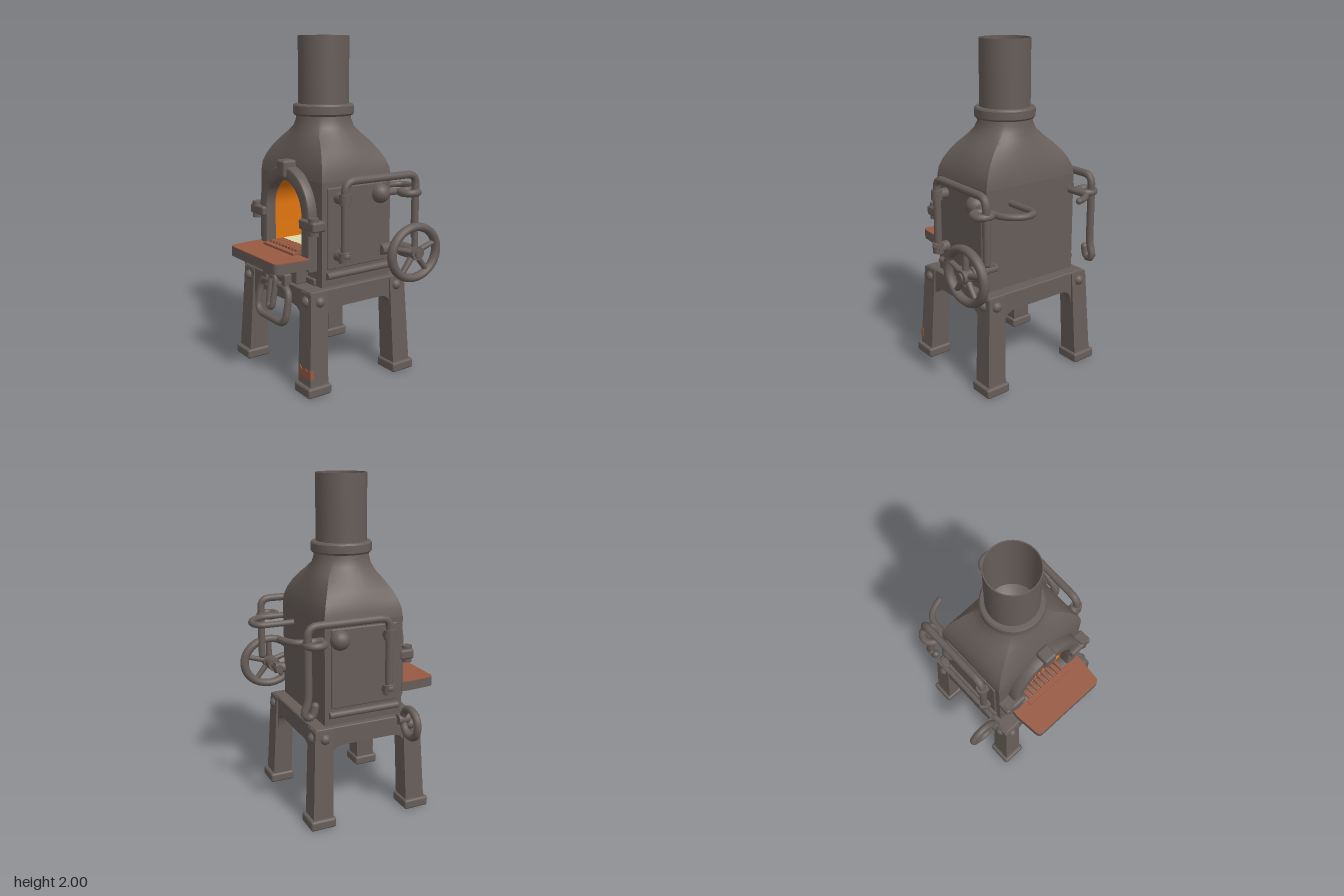
import * as THREE from 'three';
import { toCreasedNormals } from 'three/addons/utils/BufferGeometryUtils.js';
import { RoundedBoxGeometry } from 'three/addons/geometries/RoundedBoxGeometry.js';

const mat = (name, color) => Object.assign(new THREE.MeshStandardMaterial({ color }), { name });
const iron = mat('iron', 0x665d59);
const rust = mat('rust', 0x985a42);
const glow = mat('orange glow', 0xe2750f);
const ember = mat('tan ember', 0xd6aa66);
const heat = mat('pale heat', 0xf4ecba);
const V = (x, y, z) => new THREE.Vector3(x, y, z);
const CX = 0.012; // axis of the stove body
const AX = 0.024; // axis of the firebox opening

export function createModel() {
  const root = new THREE.Group();
  root.name = 'stove';

  const add = (name, geo, m = iron, x = 0, y = 0, z = 0, parent = root) => {
    const mesh = new THREE.Mesh(geo, m);
    mesh.name = name;
    mesh.position.set(x, y, z);
    parent.add(mesh);
    return mesh;
  };
  const crease = (geo) => toCreasedNormals(geo, 0.6);
  // Box given by its extents
  const box = (name, x0, x1, y0, y1, z0, z1, m = iron, r = 0.008) =>
    add(name, r ? new RoundedBoxGeometry(x1 - x0, y1 - y0, z1 - z0, 2, r) : new THREE.BoxGeometry(x1 - x0, y1 - y0, z1 - z0),
      m, (x0 + x1) / 2, (y0 + y1) / 2, (z0 + z1) / 2);
  // Cylinder lying along an axis
  const rod = (name, axis, r, len, x, y, z) => {
    const g = new THREE.CylinderGeometry(r, r, len, 20);
    if (axis === 'x') g.rotateZ(Math.PI / 2);
    if (axis === 'z') g.rotateX(Math.PI / 2);
    return add(name, g, iron, x, y, z);
  };
  const ball = (name, r, x, y, z) => add(name, new THREE.SphereGeometry(r, 16, 12), iron, x, y, z);
  // Pipe through points, with rounded bends and ends
  const pipe = (name, pts, r, bend, closed = false) => {
    const path = new THREE.CurvePath();
    const n = pts.length;
    const near = (a, b) => a.clone().lerp(b, Math.min(0.5, bend / a.distanceTo(b)));
    let at = closed ? near(pts[0], pts[1]) : pts[0];
    for (let i = 1; i <= (closed ? n : n - 2); i++) {
      const p = pts[i % n], a = near(p, pts[i - 1]), b = near(p, pts[(i + 1) % n]);
      if (at.distanceTo(a) > 1e-4) path.add(new THREE.LineCurve3(at, a));
      path.add(new THREE.QuadraticBezierCurve3(a, p, b));
      at = b;
    }
    if (!closed) {
      path.add(new THREE.LineCurve3(at, pts[n - 1]));
      for (const p of [pts[0], pts[n - 1]]) ball(name + 'End', r, p.x, p.y, p.z);
    }
    add(name, new THREE.TubeGeometry(path, 64, r, 12, closed));
  };
  const arch = (T, r, y0, spring) => {
    const s = new T();
    s.moveTo(-r, y0);
    s.lineTo(r, y0);
    s.lineTo(r, spring);
    s.absarc(0, spring, r, 0, Math.PI, false);
    s.lineTo(-r, y0);
    return s;
  };
  const extrude = (shape, depth, bevel = 0) => crease(new THREE.ExtrudeGeometry(shape, {
    depth, curveSegments: 24, bevelEnabled: bevel > 0, bevelSize: bevel, bevelThickness: bevel, bevelSegments: 2,
  }));
  const polygon = (pts) => new THREE.Shape(pts.map(([x, y]) => new THREE.Vector2(x, y)));

  // Lower body: a block with an arched tunnel, closed at the back
  const wall = polygon([[-0.336, 0.6], [0.312, 0.6], [0.312, 1.2], [-0.336, 1.2]]);
  wall.holes.push(arch(THREE.Path, 0.19, 0.77, 0.998));
  add('body', extrude(wall, 0.41), iron, AX, 0, -0.175);
  box('backWall', AX - 0.336, AX + 0.312, 0.6, 1.2, -0.258, -0.175, iron, 0);

  // Hood: rectangle blending into a circle
  const rows = [[1.2, 0.324, 0.246, 0], [1.25, 0.317, 0.241, 0], [1.3, 0.3, 0.23, 0.06], [1.35, 0.275, 0.216, 0.18],
    [1.4, 0.241, 0.2, 0.38], [1.44, 0.205, 0.186, 0.62], [1.48, 0.178, 0.172, 0.88], [1.52, 0.165, 0.164, 1], [1.56, 0.16, 0.16, 1]];
  const N = 64, pos = [], idx = [];
  rows.forEach(([y, hx, hz, t], i) => {
    for (let j = 0; j <= N; j++) {
      const a = (j / N) * Math.PI * 2, c = Math.cos(a), s = Math.sin(a);
      const k = (1 - t) / Math.max(Math.abs(c), Math.abs(s)) + t;
      pos.push(CX + hx * c * k, y, hz * s * k - 0.006 - 0.006 * (1 - t));
      if (i && j < N) {
        const p = (i - 1) * (N + 1) + j, q = p + N + 1;
        idx.push(p, q, p + 1, p + 1, q, q + 1);
      }
    }
  });
  const hood = new THREE.BufferGeometry();
  hood.setAttribute('position', new THREE.Float32BufferAttribute(pos, 3));
  hood.setIndex(idx);
  add('hood', crease(hood));

  // Chimney pipe and collar
  const lathe = (name, pts) => add(name, crease(new THREE.LatheGeometry(pts.map(([x, y]) => new THREE.Vector2(x, y)), 48)), iron, CX, 0, -0.006);
  lathe('chimney', [[0.15, 1.58], [0.15, 2], [0.144, 2], [0.144, 1.5], [0.08, 1.44], [0, 1.42]]);
  lathe('collar', [[0.15, 1.54], [0.172, 1.545], [0.18, 1.555], [0.18, 1.6], [0.172, 1.61], [0.148, 1.612]]);

  // Arch frame, keystone and side clamps
  const frame = arch(THREE.Shape, 0.252, 0.7, 1.0);
  frame.holes.push(arch(THREE.Path, 0.198, 0.765, 0.998));
  add('archFrame', extrude(frame, 0.05, 0.012), iron, AX, 0, 0.23);
  box('keystone', AX - 0.044, AX + 0.044, 1.195, 1.3, 0.22, 0.31, iron, 0.016);
  for (const s of [-1, 1]) {
    const a = AX + s * 0.192, b = AX + s * 0.345;
    box('clampBar', Math.min(a, b), Math.max(a, b), 0.933, 0.993, 0.225, 0.315, iron, 0.014);
    rod('clampPin', 'y', 0.03, 0.1, AX + s * 0.305, 0.96, 0.285);
  }

  // Glowing firebox lining, mirrored so it faces inward
  const lining = new THREE.ExtrudeGeometry(arch(THREE.Shape, 0.187, 0.773, 0.998), { depth: 0.445, bevelEnabled: false, curveSegments: 24 });
  lining.scale(-1, 1, 1);
  add('fireboxLining', crease(lining), glow, AX, 0, -0.165);
  const flame = (name, pts, m, z) => add(name, new THREE.ShapeGeometry(polygon(pts)), m, 0, 0, z);
  flame('emberGlow', [[-0.13, 0.775], [0.18, 0.775], [0.185, 0.93], [0.165, 0.96], [0.12, 0.965], [0.13, 1.02], [0.105, 1.06], [0.085, 1.055],
    [0.085, 1.01], [0.055, 0.985], [0.01, 1.03], [-0.05, 1.05], [-0.085, 1.02], [-0.095, 0.96], [-0.085, 0.92], [-0.13, 0.89]], ember, -0.161);
  flame('heatGlow', [[-0.13, 0.775], [0.18, 0.775], [0.18, 0.85], [0.16, 0.87], [0.1, 0.865], [0.05, 0.88], [0.03, 0.915], [-0.01, 0.92],
    [-0.03, 0.89], [-0.09, 0.885], [-0.125, 0.84]], heat, -0.157);
  box('hotFloor', -0.13, 0.18, 0.773, 0.779, -0.155, 0.14, ember, 0);
  for (let i = 0; i < 9; i++) {
    const x = AX - 0.136 + i * 0.034;
    box('grateBarHot', x - 0.01, x + 0.01, 0.775, 0.797, -0.155, 0.2, heat, 0);
    box('grateBarFront', x - 0.01, x + 0.01, 0.775, 0.797, 0.2, 0.295, rust, 0);
  }
  box('grateSill', AX - 0.165, AX + 0.165, 0.77, 0.784, 0.295, 0.33, rust, 0);

  // Shelf with rusty top
  const plan = new THREE.Shape();
  plan.moveTo(-0.27, 0.28);
  plan.lineTo(-0.275, 0.32);
  plan.lineTo(-0.26, 0.475);
  plan.quadraticCurveTo(-0.257, 0.507, -0.225, 0.507);
  plan.lineTo(0.225, 0.507);
  plan.quadraticCurveTo(0.257, 0.507, 0.26, 0.475);
  plan.lineTo(0.275, 0.32);
  plan.lineTo(0.27, 0.28);
  const shelf = (depth) => extrude(plan, depth).rotateX(Math.PI / 2);
  add('shelf', shelf(0.056), iron, AX, 0.766, 0);
  add('shelfTop', shelf(0.005), rust, AX, 0.771, 0);

  // Ash drawer, latch and pull handle below the shelf
  box('ashDrawer', -0.16, 0.2, 0.6, 0.71, 0.22, 0.315);
  box('drawerRail', -0.24, 0.28, 0.6, 0.64, 0.2, 0.25);
  rod('hingeBarrel', 'x', 0.025, 0.2, 0.02, 0.625, 0.335);
  for (const x of [-0.085, 0.125]) box('hingeLug', x - 0.02, x + 0.02, 0.53, 0.65, 0.3, 0.36);
  pipe('pullHandle', [V(-0.143, 0.57, 0.345), V(-0.143, 0.36, 0.378), V(0.173, 0.36, 0.378), V(0.173, 0.57, 0.345)], 0.021, 0.07, true);
  pipe('latchLoop', [V(-0.01, 0.62, 0.355), V(-0.005, 0.43, 0.383), V(0.04, 0.43, 0.383), V(0.045, 0.62, 0.355)], 0.018, 0.03, true);

  // Stand: table block, arched aprons, legs, feet, bolts
  box('table', CX - 0.36, CX + 0.36, 0.492, 0.6, -0.33, 0.33);
  const apron = (w, inner) => {
    const s = new THREE.Shape();
    s.moveTo(-w, 0.595);
    s.lineTo(-w, 0.38);
    s.lineTo(-inner, 0.38);
    s.quadraticCurveTo(-inner, 0.488, -inner + 0.085, 0.488);
    s.lineTo(inner - 0.085, 0.488);
    s.quadraticCurveTo(inner, 0.488, inner, 0.38);
    s.lineTo(w, 0.38);
    s.lineTo(w, 0.595);
    return extrude(s, 0.05);
  };
  for (const s of [-1, 1]) {
    add('apron', apron(0.355, 0.262), iron, CX, 0, s * 0.308 - 0.025);
    add('sideApron', apron(0.32, 0.242), iron, CX + s * 0.34, 0, 0).geometry.translate(0, 0, -0.025).rotateY(Math.PI / 2);
    for (const q of [-1, 1]) {
      const leg = new THREE.BoxGeometry(0.124, 0.56, 0.124);
      const p = leg.attributes.position;
      for (let i = 0; i < p.count; i++) {
        const t = (p.getY(i) + 0.28) / 0.56;
        p.setXYZ(i, p.getX(i) * (1 - 0.1 * t) - s * 0.024 * t, p.getY(i), p.getZ(i) * (1 - 0.1 * t) - q * 0.022 * t);
      }
      leg.computeVertexNormals();
      add('leg', leg, iron, CX + s * 0.338, 0.31, q * 0.305);
      add('foot', new RoundedBoxGeometry(0.158, 0.06, 0.158, 2, 0.014), iron, CX + s * 0.34, 0.03, q * 0.308);
      ball('legBolt', 0.032, CX + s * 0.317, 0.54, q * 0.332);
      ball('legBolt', 0.032, CX + s * 0.362, 0.54, q * 0.278);
    }
  }
  // Rust patch on a front leg
  const patch = polygon([[0.29, 0.105], [0.409, 0.105], [0.408, 0.165], [0.385, 0.15], [0.36, 0.158], [0.33, 0.145], [0.305, 0.165], [0.29, 0.16]]);
  add('legRust', extrude(patch, 0.005), rust, 0, 0, 0.362);
  box('legRustSide', 0.404, 0.411, 0.105, 0.155, 0.34, 0.366, rust, 0);

  // Side panels, guard pipes and their mounts
  for (const [s, e, p] of [[1, 0.336, 0.41], [-1, -0.312, -0.35]]) {
    const mid = (e + p) / 2, len = Math.abs(p - e) + 0.03;
    box('sidePanel', e - 0.01, e + 0.01, 0.7, 1.17, -0.22, 0.2);
    rod('panelRail', 'z', 0.02, 0.44, e + s * 0.008, 0.665, -0.015);
    const tail = s > 0
      ? [V(p + 0.015, 0.84, -0.375)]
      : [V(p, 0.78, -0.375), V(p, 0.7, -0.41), V(p, 0.68, -0.35), V(p, 0.75, -0.335)];
    pipe('guardPipe', [V(p, 0.78, 0.13), V(p, 1.21, 0.13), V(p + (s > 0 ? 0.015 : 0), 1.21, -0.375), ...tail], 0.023, 0.06);
    for (const y of [0.78, 1.11]) {
      rod('pipeMount', 'x', 0.033, len, mid, y, 0.13);
      rod('pipeSleeve', 'y', 0.034, 0.06, p, y, 0.13);
    }
    ball('mountNut', 0.027, p + s * 0.012, 0.79, 0.13);
    ball('pipeFlange', 0.058, e + s * 0.012, 1.105, -0.17);
    // Flat ring holding the guard pipe to the hook pipe
    add('pipeRing', new THREE.TorusGeometry(0.052, 0.022, 10, 28).rotateX(Math.PI / 2), iron, s > 0 ? 0.42 : -0.345, 1.105, -0.33);
  }
  // Rear hooks
  pipe('rearHook', [V(0.36, 1.105, -0.17), V(0.365, 1.105, -0.41), V(0.3, 1.105, -0.485), V(0.225, 1.105, -0.5),
    V(0.165, 1.105, -0.47), V(0.165, 1.105, -0.24)], 0.019, 0.06);
  pipe('rearHookCut', [V(-0.285, 1.105, -0.17), V(-0.285, 1.105, -0.4), V(-0.23, 1.105, -0.445), V(-0.165, 1.105, -0.465)], 0.019, 0.06);

  // Hand wheel on its axle
  const wheel = new THREE.Group();
  wheel.name = 'handWheel';
  wheel.position.set(0.512, 0.765, -0.299);
  wheel.rotation.y = Math.PI / 2;
  wheel.scale.y = 0.89;
  root.add(wheel);
  add('wheelRim', new THREE.TorusGeometry(0.17, 0.028, 12, 48), iron, 0, 0, 0, wheel);
  add('wheelHub', new THREE.CylinderGeometry(0.045, 0.045, 0.06, 20).rotateX(Math.PI / 2), iron, 0, 0, 0.005, wheel);
  for (let i = 0; i < 5; i++) {
    const spoke = new THREE.CylinderGeometry(0.017, 0.02, 0.15, 10).translate(0, 0.095, 0).rotateZ((i * Math.PI * 2) / 5);
    add('wheelSpoke', spoke, iron, 0, 0, 0, wheel);
  }
  rod('wheelAxle', 'x', 0.026, 0.25, 0.433, 0.765, -0.299);
  rod('axleBearing', 'x', 0.042, 0.08, 0.44, 0.765, -0.299);
  // Stub joining the axle to the body
  rod('axleStub', 'z', 0.034, 0.14, 0.345, 0.765, -0.25);

  // Hanging ring on the other side
  add('hangingRing', new THREE.TorusGeometry(0.084, 0.022, 12, 40), iron, -0.45, 0.587, 0.222);
  rod('ringEye', 'z', 0.03, 0.07, -0.362, 0.585, 0.222);
  return root;
}
